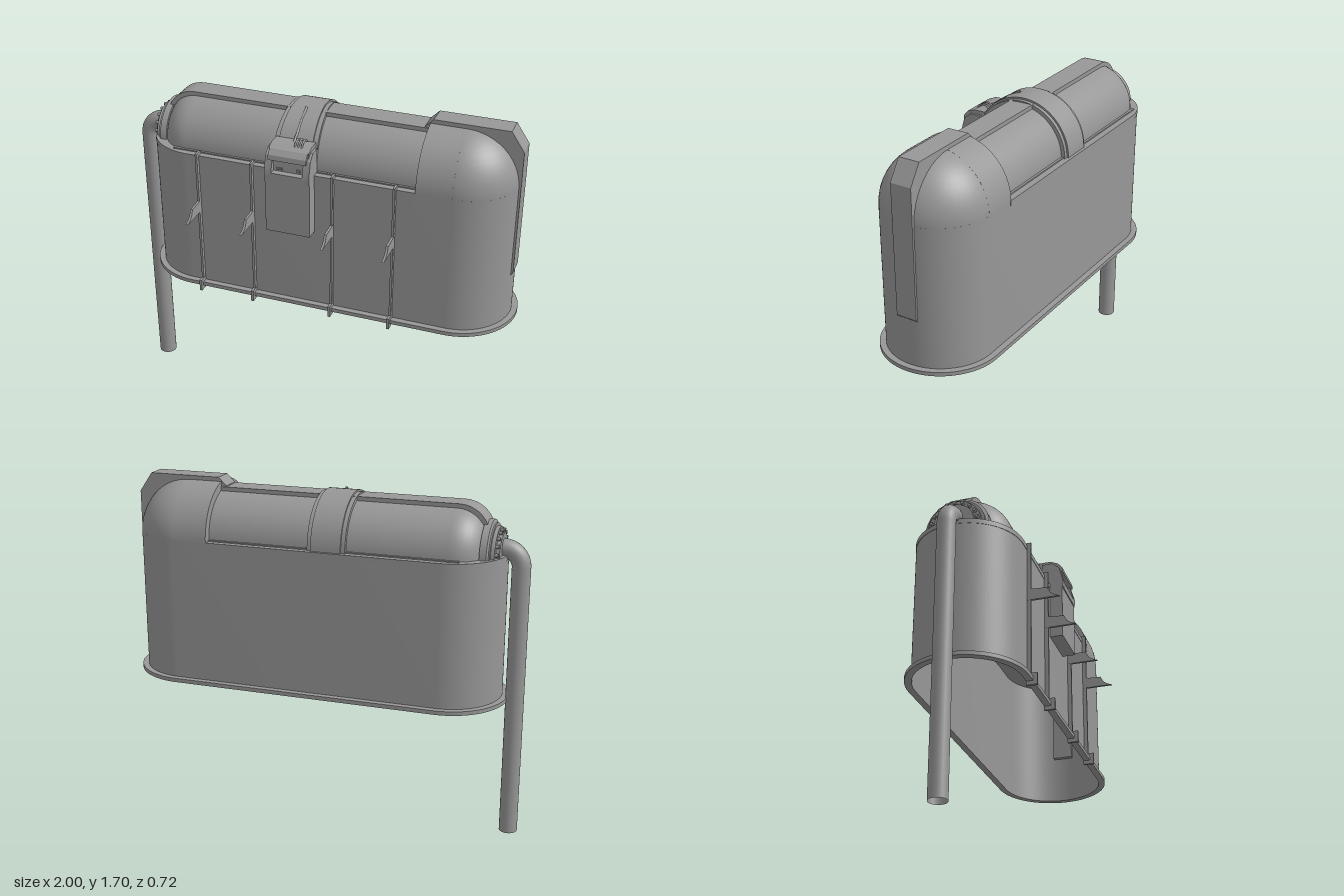
import * as THREE from 'three';
import { toCreasedNormals } from 'three/addons/utils/BufferGeometryUtils.js';

const ZC = -0.065;   // centre line of the tank in z
const YC = 1.415;    // height of the deck, axis of the rounded tops
const BX = -0.075;   // centre of the strap band and control box
const R = 0.265;     // half width of the body

export function createModel() {
  const model = new THREE.Group();
  const mat = new THREE.MeshStandardMaterial({ color: 0x979797, side: THREE.DoubleSide });

  const add = (name, geo, x = 0, y = 0, z = 0, parent = model) => {
    const mesh = new THREE.Mesh(geo, mat);
    mesh.name = name;
    mesh.position.set(x, y, z);
    parent.add(mesh);
    return mesh;
  };
  const box = (name, w, h, d, x, y, z, parent) => add(name, new THREE.BoxGeometry(w, h, d), x, y, z, parent);
  const extrude = (shape, depth) => toCreasedNormals(
    new THREE.ExtrudeGeometry(shape, { depth, bevelEnabled: false, curveSegments: 24 }), 0.5);
  const polygon = (pts) => new THREE.Shape(pts.map(([x, y]) => new THREE.Vector2(x, y)));

  // Plan outline with rounded ends; cx0 and cx1 are the end centres
  const stadium = (cx0, cx1, r, Type = THREE.Shape) => {
    const s = new Type();
    s.absarc(cx1, 0, r, -Math.PI / 2, Math.PI / 2, false);
    s.absarc(cx0, 0, r, Math.PI / 2, Math.PI * 1.5, false);
    s.closePath();
    return s;
  };
  const slab = (name, shape, y0, y1) =>
    add(name, extrude(shape, y1 - y0).rotateX(-Math.PI / 2), 0, y0, ZC);

  // Upper half of a solid turned about the x axis; points are [x, radius], running towards -x
  const halfTurn = (name, pts) => {
    const geo = new THREE.LatheGeometry(pts.map(([x, r]) => new THREE.Vector2(r, -x)), 40, 0, Math.PI);
    return add(name, toCreasedNormals(geo.rotateZ(Math.PI / 2), 0.5), 0, YC, ZC);
  };

  // Thin-walled body, open at the bottom, with a base flange
  const L = -0.625, H = 0.705;
  const wall = stadium(L, H, R);
  wall.holes.push(stadium(L, H, R - 0.004, THREE.Path));
  slab('bodyWall', wall, 0.7, YC);
  const flange = stadium(L, H, 0.295);
  flange.holes.push(stadium(L, H, R - 0.004, THREE.Path));
  slab('baseFlange', flange, 0.69, 0.71);
  slab('deck', stadium(L, H, R - 0.003), 1.395, YC - 0.003);
  const lip = new THREE.Shape();
  lip.moveTo(0.535, -R - 0.002);
  lip.lineTo(0.535, R + 0.002);
  lip.absarc(L, 0, R + 0.002, Math.PI / 2, Math.PI * 1.5, false);
  slab('deckLip', lip, 1.392, YC + 0.002);

  // Tall hood: half cylinder ending in a quarter sphere
  const arch = new THREE.Shape();
  arch.absarc(0, 0, R, 0, Math.PI, false);
  arch.closePath();
  add('hoodArch', extrude(arch, H - 0.53).rotateY(Math.PI / 2), 0.53, YC, ZC);
  add('hoodDome', new THREE.SphereGeometry(R, 24, 12, Math.PI / 2, Math.PI, 0, Math.PI / 2), H, YC, ZC);
  const spine = polygon([[0.505, 1.6], [0.505, 1.655], [0.545, 1.695], [0.91, 1.695], [0.975, 1.6],
    [0.975, 0.955], [0.965, 0.945], [0.94, 0.945], [0.94, 1.5], [0.85, 1.6]]);
  add('hoodSpine', extrude(spine, 0.106), 0, 0, ZC - 0.053);

  // Rounded tank with a flat rib over its top
  const tankProfile = (r, end) => {
    const pts = [[0.54, r]];
    for (let i = 0; i <= 10; i++) {
      const a = (i / 10) * Math.PI / 2;
      pts.push([end + 0.15 - 0.15 * Math.sin(a), r - 0.15 + 0.15 * Math.cos(a)]);
    }
    pts.push([end, 0]);
    return pts;
  };
  halfTurn('tank', tankProfile(0.224, -0.805));
  const rib = polygon([...tankProfile(0.236, -0.815), [0.54, 0]]);
  add('tankRib', extrude(rib, 0.12), 0, YC, ZC - 0.06);
  for (const s of [-1, 1]) box('tankFootStrip', 1.24, 0.008, 0.014, -0.09, YC + 0.004, ZC + s * 0.228);

  // Stepped pipe collar with bolts
  halfTurn('pipeCollar', [[-0.785, 0], [-0.785, 0.16], [-0.818, 0.16], [-0.825, 0.145], [-0.832, 0.145],
    [-0.832, 0.13], [-0.85, 0.13], [-0.85, 0.1], [-0.868, 0.1], [-0.868, 0]]);
  for (let i = 0; i < 9; i++) {
    const a = Math.PI * (i + 0.5) / 9;
    const bolt = new THREE.CylinderGeometry(0.009, 0.009, 0.022, 8).rotateZ(Math.PI / 2);
    add('collarBolt', bolt, -0.855, YC + 0.115 * Math.sin(a), ZC + 0.115 * Math.cos(a));
  }

  // Down pipe, open at its foot, with elbow
  add('downPipe', new THREE.CylinderGeometry(0.045, 0.045, 1.36, 24, 1, true), -0.955, 0.68, ZC);
  add('pipeElbow', new THREE.TorusGeometry(0.085, 0.045, 24, 16, Math.PI / 2).rotateZ(Math.PI / 2), -0.87, 1.36, ZC);
  add('pipeStub', new THREE.CylinderGeometry(0.045, 0.045, 0.08, 24).rotateZ(Math.PI / 2), -0.83, 1.445, ZC);

  // Saddle band over the tank, raised along the middle and flaring to the front
  const band = (name, w, r) => {
    const mesh = halfTurn(name, [[BX + w / 2, 0.2], [BX + w / 2, r], [BX - w / 2, r], [BX - w / 2, 0.2]]);
    const p = mesh.geometry.attributes.position;
    for (let i = 0; i < p.count; i++) {
      const flare = 1 + 0.18 * Math.max(0, p.getZ(i) / r);
      p.setX(i, BX + (p.getX(i) - BX) * flare);
    }
    mesh.geometry = toCreasedNormals(mesh.geometry, 0.5);
  };
  band('saddleBand', 0.188, 0.243);
  band('saddleBandCentre', 0.148, 0.252);

  // Control box hung on the front
  const control = new THREE.Group();
  control.name = 'controlBox';
  model.add(control);
  box('lowerBox', 0.225, 0.28, 0.068, BX, 1.255, 0.231, control);
  // Extruded from the side: first number is z, second is y
  const side = (name, pts, w, x) =>
    add(name, extrude(polygon(pts.map(([z, y]) => [-z, y])), w).rotateY(Math.PI / 2), x - w / 2, 0, 0, control);
  side('upperBox', [[0.14, 1.395], [0.24, 1.395], [0.24, 1.5], [0.235, 1.545], [0.2, 1.56], [0.14, 1.56]], 0.2, BX);
  for (const s of [-1, 1]) {
    side('boxCheek', [[0.16, 1.395], [0.268, 1.395], [0.272, 1.43], [0.25, 1.51], [0.215, 1.54], [0.16, 1.54]],
      0.035, BX + s * 0.095);
  }
  side('panelBrow', [[0.2, 1.495], [0.265, 1.495], [0.262, 1.52], [0.24, 1.545], [0.2, 1.555]], 0.19, BX);
  side('panelSill', [[0.2, 1.395], [0.27, 1.395], [0.27, 1.43], [0.2, 1.435]], 0.19, BX);
  box('panelKey', 0.02, 0.012, 0.008, BX + 0.05, 1.448, 0.242, control);
  box('panelKey', 0.03, 0.008, 0.008, BX - 0.045, 1.446, 0.242, control);

  // Cables running from the box up onto the band
  const cable = (x, pts, r) => add('cable', new THREE.TubeGeometry(
    new THREE.CatmullRomCurve3(pts.map(([y, z]) => new THREE.Vector3(x, y, z))), 16, r, 8));
  cable(BX, [[1.54, 0.2], [1.575, 0.14], [1.62, 0.075], [1.663, 0.0]], 0.006);
  for (const dx of [0.02, 0.037, 0.054]) {
    cable(BX + dx, [[1.54, 0.215], [1.57, 0.195], [1.576, 0.165], [1.55, 0.13]], 0.005);
  }

  // Four front straps with a hook and a bottom bracket each
  const hook = polygon([[-0.2, 1.115], [-0.2, 1.18], [-0.24, 1.172], [-0.3, 1.17], [-0.315, 1.14],
    [-0.335, 1.125], [-0.36, 1.115]]);
  for (const x of [-0.565, -0.28, 0.13, 0.435]) {
    const strap = new THREE.Group();
    strap.name = 'frontStrap';
    strap.position.x = x;
    model.add(strap);
    box('strapBar', 0.011, 0.74, 0.022, 0, 1.06, 0.209, strap);
    box('strapTop', 0.011, 0.03, 0.045, 0, 1.417, 0.198, strap);
    box('strapBracket', 0.013, 0.06, 0.055, 0, 0.7, 0.222, strap);
    add('strapHook', extrude(hook, 0.012).rotateY(Math.PI / 2), -0.006, 0, 0, strap);
  }
  return model;
}
